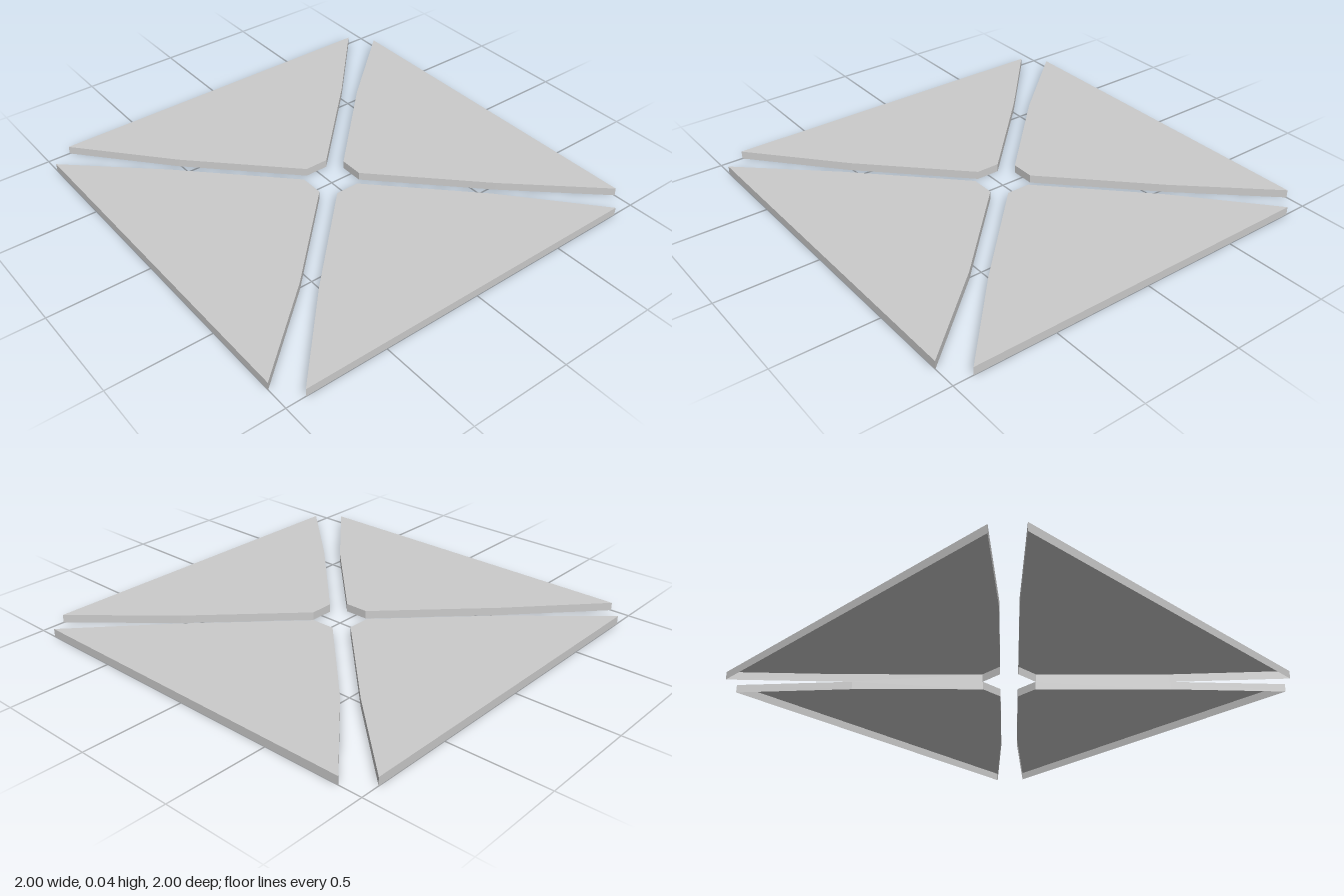
import * as THREE from 'three';

const HEIGHT = 0.04;

// Outline of the front panel in plan: [x, z]
const OUTLINE = [
  [-0.06, 0.12], [0.06, 0.12], // blunt inner tip
  [0.51, 0.57], [0.885, 1],    // one bent side
  [-0.905, 1], [-0.525, 0.585], // outer edge and the other bent side
];

// Flat sheet forming the top of a panel
function topGeometry() {
  const shape = new THREE.Shape(OUTLINE.map(([x, z]) => new THREE.Vector2(x, -z)));
  return new THREE.ShapeGeometry(shape).rotateX(-Math.PI / 2).translate(0, HEIGHT, 0);
}

// Thin skirt hanging from the outline down to the ground
function skirtGeometry() {
  const positions = [];
  OUTLINE.forEach(([ax, az], i) => {
    const [bx, bz] = OUTLINE[(i + 1) % OUTLINE.length];
    positions.push(
      ax, 0, az, ax, HEIGHT, az, bx, HEIGHT, bz,
      ax, 0, az, bx, HEIGHT, bz, bx, 0, bz,
    );
  });
  const geometry = new THREE.BufferGeometry();
  geometry.setAttribute('position', new THREE.Float32BufferAttribute(positions, 3));
  geometry.computeVertexNormals();
  return geometry;
}

export function createModel() {
  const model = new THREE.Group();
  model.name = 'splitSquarePlate';

  const material = new THREE.MeshStandardMaterial({
    color: 0xcccccc, flatShading: true, side: THREE.DoubleSide,
  });
  const parts = { top: topGeometry(), skirt: skirtGeometry() };

  // Four equal panels, hollow and open underneath, turned about the centre
  ['frontPanel', 'leftPanel', 'backPanel', 'rightPanel'].forEach((name, i) => {
    const panel = new THREE.Group();
    panel.name = name;
    for (const [partName, geometry] of Object.entries(parts)) {
      const mesh = new THREE.Mesh(geometry, material);
      mesh.name = partName;
      panel.add(mesh);
    }
    panel.rotation.y = (i * Math.PI) / 2;
    model.add(panel);
  });

  return model;
}
